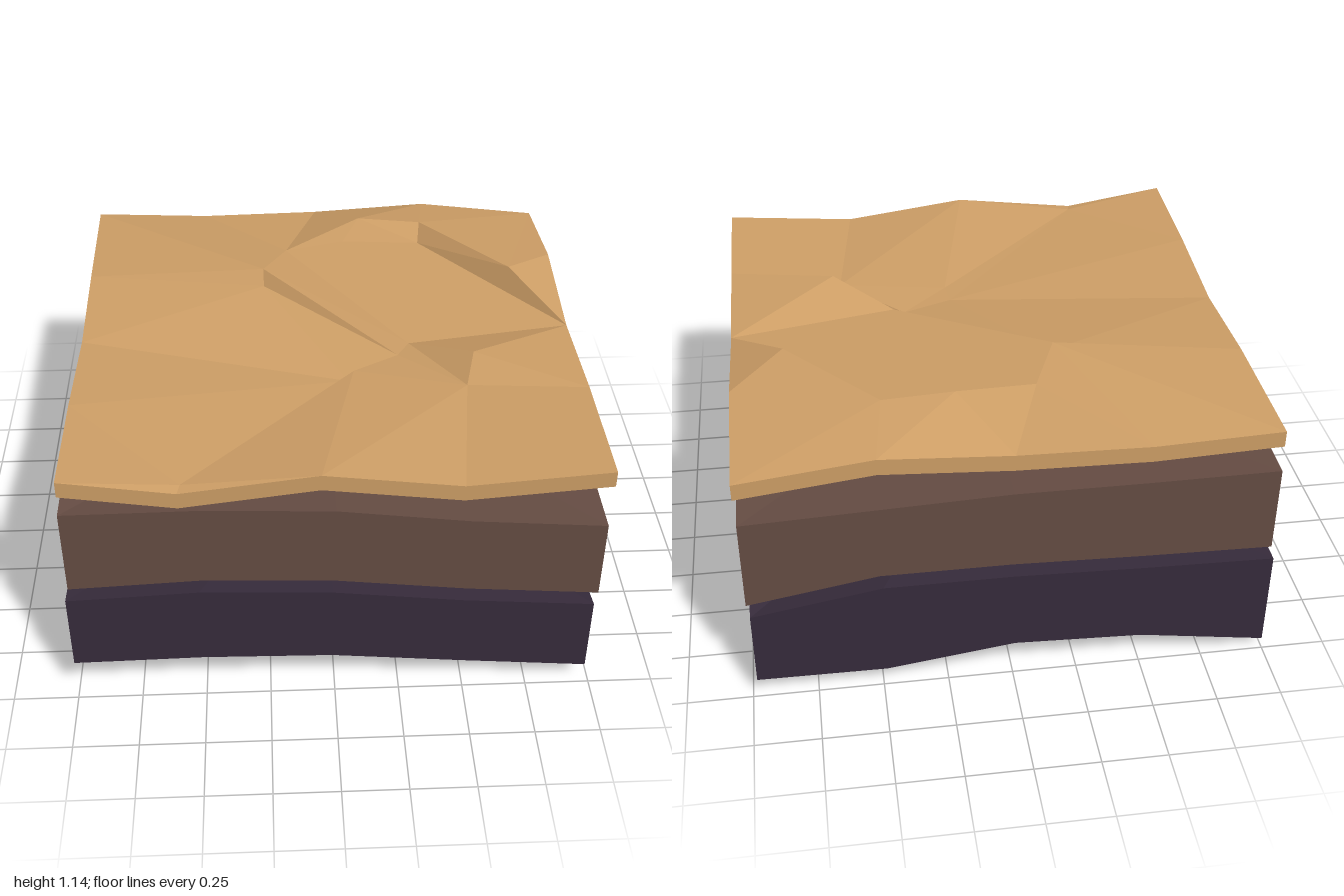
import * as THREE from 'three';

const material = (name, color) => {
  const m = new THREE.MeshStandardMaterial({ color, side: THREE.DoubleSide, flatShading: true });
  m.name = name;
  return m;
};

// Mesh from a list of triangles, each a triple of Vector3
function facets(name, tris, mat) {
  const g = new THREE.BufferGeometry().setFromPoints(tris.flat());
  g.computeVertexNormals();
  const mesh = new THREE.Mesh(g, mat);
  mesh.name = name;
  return mesh;
}

// Turn a triangle so that it faces upwards
function faceUp([a, b, c]) {
  const ny = (b.z - a.z) * (c.x - a.x) - (b.x - a.x) * (c.z - a.z);
  return ny >= 0 ? [a, b, c] : [a, c, b];
}

// Vertical skirt between two closed rims running front, right, back, left
function skirt(top, bottom) {
  return top.flatMap((t, i) => {
    const j = (i + 1) % top.length;
    return [[bottom[i], bottom[j], t], [bottom[j], top[j], t]];
  });
}

// Square rim of 16 points, four to each side
function rim(heights, x0, x1, z) {
  const corners = [[x0, z], [x1, z], [x1, -z], [x0, -z]];
  return heights.map((y, i) => {
    const [a, b] = [corners[i >> 2], corners[((i >> 2) + 1) % 4]];
    const t = (i % 4) / 4;
    return new THREE.Vector3(a[0] + (b[0] - a[0]) * t, y, a[1] + (b[1] - a[1]) * t);
  });
}

// Thick wavy layer: a skirt closed by a fan on top, open below
function layer(name, topHeights, bottomHeights, centreY, x0, x1, z, mat) {
  const top = rim(topHeights, x0, x1, z);
  const bottom = rim(bottomHeights, x0, x1, z);
  const centre = new THREE.Vector3(0, centreY, 0);
  const cap = top.map((p, i) => faceUp([p, top[(i + 1) % 16], centre]));
  const group = new THREE.Group();
  group.name = name;
  group.add(facets(name + 'Sides', skirt(top, bottom), mat), facets(name + 'Top', cap, mat));
  return group;
}

// Cracked crust: named points, joined by fans around hub points
function crust(mat) {
  const points = {
    // rim: front, right, back, left
    A: [-0.98, 1.065, 0.985], f1: [-0.56, 1.0, 0.985], f2: [-0.05, 1.065, 0.985], f3: [0.46, 1.0, 0.985],
    B: [0.995, 1.045, 0.985], r1: [0.995, 1.04, 0.46], r2: [0.995, 1.01, -0.02], r3: [0.995, 1.065, -0.5],
    C: [0.995, 1.0, -0.99], b1: [0.49, 1.06, -0.99], b2: [0, 1.03, -0.99], b3: [-0.5, 1.02, -0.99],
    D: [-0.98, 1.04, -0.99], l1: [-0.975, 1.045, -0.43], l2: [-0.975, 1.015, 0.03], l3: [-0.98, 1.045, 0.5],
    // long crack, upper and lower lips
    P: [-0.24, 1.1, -0.37], p: [-0.24, 1.04, -0.33], X: [0.335, 1.02, 0.1], x: [0.29, 0.985, 0.13],
    Q: [0.57, 1.095, 0.28], q: [0.54, 1.0, 0.37],
    // side crack
    S: [0.105, 1.01, 0.27], s: [0.085, 0.955, 0.26], T: [-0.55, 1.005, 0.94],
    // back ridge
    u: [-0.14, 1.06, -0.59], V: [0.11, 1.06, -0.66], W: [0.18, 1.14, -0.72],
    v: [0.44, 1.05, -0.65], Z: [0.45, 1.12, -0.71], y: [0.79, 1.12, -0.31],
  };
  const fans = [
    'P l1 D b3 u X x p', 'b2 u b3', 'W u b2 b1 Z v V u', 'C b1 Z', 'y v Z C r3 r2 v',
    'X u V v r2 Q q x', 'r1 r2 Q q B', 'p P l1 l2 s x', 's l2 l3 T S x', 'S x q f2 T',
    'T l3 A f1 f2', 'f3 B q f2',
  ];
  const at = {};
  for (const k in points) at[k] = new THREE.Vector3(...points[k]);
  const tris = fans.flatMap((fan) => {
    const [hub, ...ring] = fan.split(' ').map((k) => at[k]);
    return ring.slice(1).map((p, i) => faceUp([hub, ring[i], p]));
  });
  const edge = Object.keys(points).slice(0, 16).map((k) => at[k]);
  const lower = edge.map((p) => new THREE.Vector3(p.x, p.y - 0.065, p.z));
  const group = new THREE.Group();
  group.name = 'crust';
  group.add(facets('crustSurface', tris, mat), facets('crustEdge', skirt(edge, lower), mat));
  return group;
}

export function createModel() {
  const model = new THREE.Group();
  model.name = 'groundLayers';
  const sand = material('sand', 0xcd9e66);
  const soil = material('soil', 0x654c43);
  const rock = material('rock', 0x362b3b);

  const rockBottom = [0.18, 0.19, 0.18, 0.13, 0.085, 0.08, 0, 0.1, 0.075, 0.07, 0.14, 0.12, 0.04, 0.066, 0.025, 0.126];
  const rockTop = [0.505, 0.53, 0.51, 0.45, 0.41, 0.32, 0.29, 0.47, 0.39, 0.475, 0.475, 0.46, 0.45, 0.45, 0.41, 0.47];
  const soilBottom = rockTop.map((h) => h + 0.06);
  const soilTop = [0.92, 0.925, 0.905, 0.84, 0.8, 0.8, 0.76, 0.84, 0.82, 0.84, 0.86, 0.86, 0.865, 0.875, 0.865, 0.93];

  model.add(
    layer('bedrock', rockTop, rockBottom, 0.45, -1, 0.98, 0.99, rock),
    layer('subsoil', soilTop, soilBottom, 0.82, -0.985, 0.99, 0.99, soil),
    crust(sand),
  );
  return model;
}
